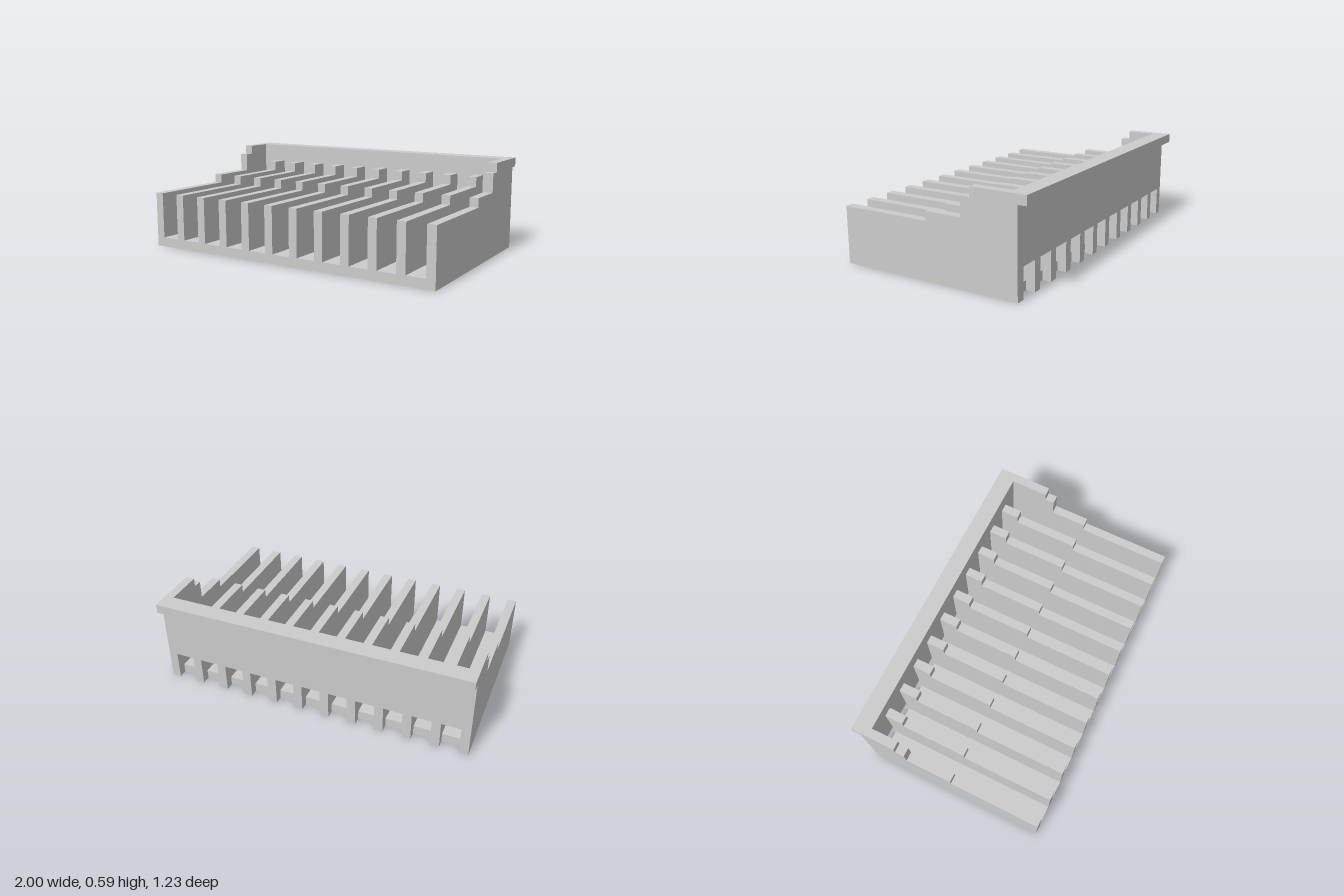
import * as THREE from 'three';

const W = 0.056;            // wall and rib thickness
const PITCH = 0.1767;       // rib spacing
const FRONT = 0.615, INNER = -0.505, OUTER = -0.56, LIP = -0.615;
const FLOOR = 0.06, SLOT = 0.185, RIM = 0.53, TOP = 0.588;

export function createModel() {
  const group = new THREE.Group();
  const material = new THREE.MeshStandardMaterial({ color: 0xcccccc, flatShading: true });

  function add(name, geometry, x = 0, y = 0, z = 0) {
    const mesh = new THREE.Mesh(geometry, material);
    mesh.name = name;
    mesh.position.set(x, y, z);
    group.add(mesh);
  }

  const toShape = (points) => new THREE.Shape(points.map(([a, b]) => new THREE.Vector2(a, b)));

  // Plate of thickness W with a (z, y) outline, centred on its x
  function plate(points) {
    const geo = new THREE.ExtrudeGeometry(toShape(points), { depth: W, bevelEnabled: false });
    return geo.translate(0, 0, -W / 2).rotateY(-Math.PI / 2);
  }

  // Stepped side walls; the step up to the rim sits further back on the right
  function sideWall(step) {
    return plate([
      [FRONT, 0], [FRONT, 0.355], [0.03, 0.355], [0.03, 0.411],
      [step, 0.411], [step, RIM], [step - 0.06, RIM], [step - 0.06, TOP],
      [LIP, TOP], [LIP, RIM], [OUTER, RIM], [OUTER, 0],
    ]);
  }
  add('leftWall', sideWall(-0.205), 1 - W / 2);
  add('rightWall', sideWall(-0.268), -1 + W / 2);

  // Floor
  const inside = 2 - 2 * W;
  add('floor', new THREE.BoxGeometry(inside, FLOOR, FRONT - INNER), 0, FLOOR / 2, (FRONT + INNER) / 2);

  // Dividing ribs with a raised stop at the back
  const rib = plate([
    [FRONT, FLOOR], [FRONT, 0.355], [0.03, 0.355], [0.03, 0.411],
    [-0.388, 0.411], [-0.388, 0.472], [INNER, 0.472], [INNER, FLOOR],
  ]);
  const ribX = Array.from({ length: 10 }, (_, i) => (i - 4.5) * PITCH);
  ribX.forEach((x) => add('rib', rib, x));

  // Back wall with teeth between the slots
  const outline = [[-inside / 2, RIM], [-inside / 2, SLOT]];
  for (const x of ribX) {
    outline.push([x - W / 2, SLOT], [x - W / 2, 0], [x + W / 2, 0], [x + W / 2, SLOT]);
  }
  outline.push([inside / 2, SLOT], [inside / 2, RIM]);
  const back = new THREE.ExtrudeGeometry(toShape(outline), { depth: INNER - OUTER, bevelEnabled: false });
  add('backWall', back, 0, 0, OUTER);

  // Overhanging lip along the back rim
  add('backLip', new THREE.BoxGeometry(inside, TOP - RIM, INNER - LIP), 0, (TOP + RIM) / 2, (INNER + LIP) / 2);

  return group;
}
